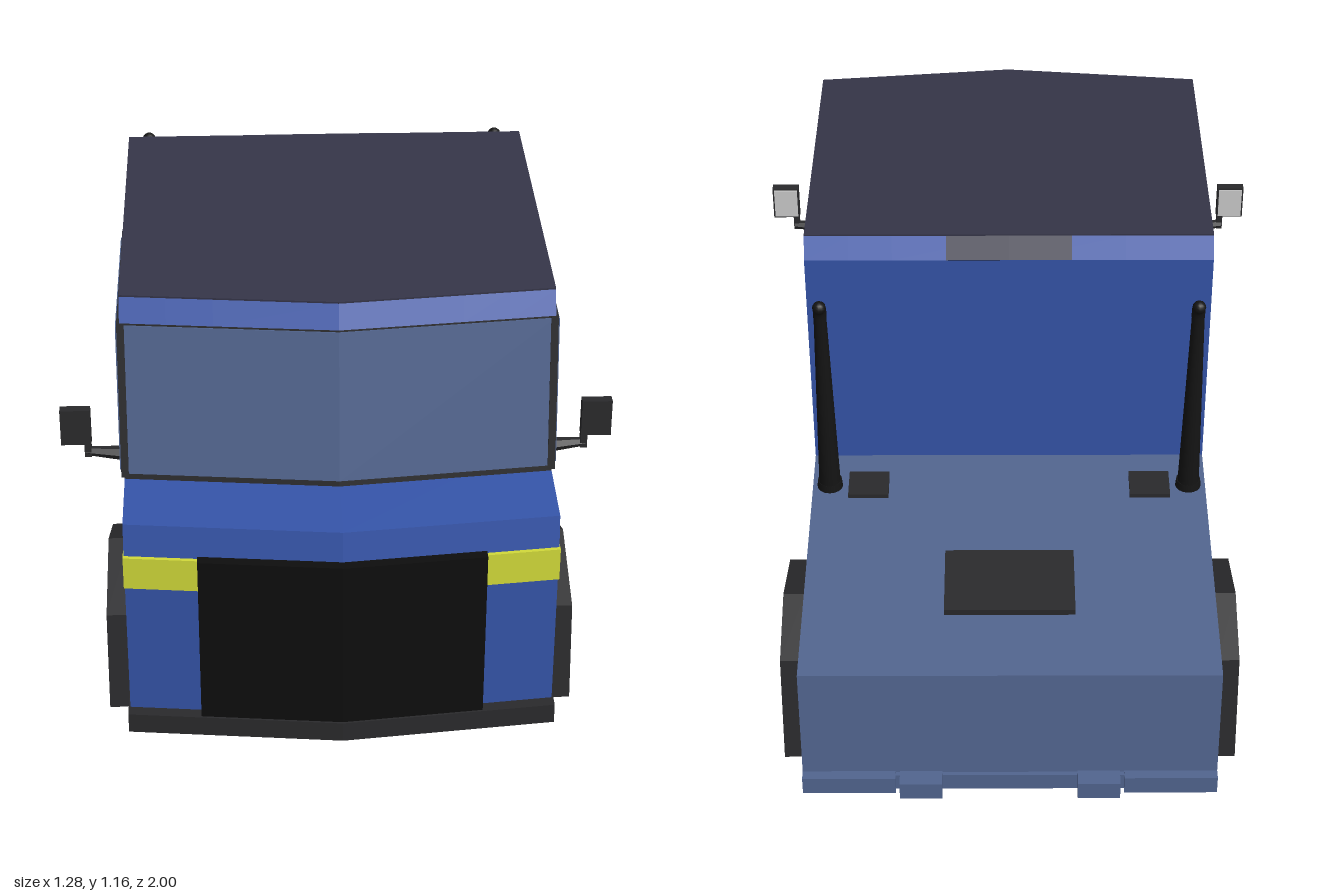
import * as THREE from 'three';

const mat = (color, flatShading = true) => new THREE.MeshStandardMaterial({ color, flatShading });
const blue = mat(0x3554a8), doorBlue = mat(0x3858c8), slate = mat(0x52658f), roofGrey = mat(0x353548);
const dark = mat(0x2a2a2c), black = mat(0x0e0e0e), yellow = mat(0xd2da3a), silver = mat(0xcccccc);
const floorGrey = mat(0x2a3347), rubber = mat(0x1c1c1c, false), hubGrey = mat(0x777777, false);
const pipe = mat(0x141414, false);

const W = 0.49;   // half width of the body
const IN = 0.28;  // inner wall of the wheel wells

export function createModel() {
  const truck = new THREE.Group();

  const add = (name, geometry, material) => {
    const mesh = new THREE.Mesh(geometry, material);
    mesh.name = name;
    truck.add(mesh);
    return mesh;
  };

  // Sweeps the nose back towards the sides, giving the shallow V in plan
  const sweep = (geo) => {
    const p = geo.attributes.position;
    for (let i = 0; i < p.count; i++) {
      const z = p.getZ(i);
      if (z > 0.84 || (z > 0.6 && p.getY(i) > 0.66)) p.setZ(i, z - 0.053 * Math.abs(p.getX(i)) / W);
    }
    geo.computeVertexNormals();
    return geo;
  };

  // Extrudes a [z, y] outline across x0..x1
  const slab = (points, x0, x1, holes = []) => {
    const shape = new THREE.Shape(points.map(([z, y]) => new THREE.Vector2(z, y)));
    holes.forEach((h) => shape.holes.push(new THREE.Path(h.map(([z, y]) => new THREE.Vector2(z, y)))));
    const geo = new THREE.ExtrudeGeometry(shape, { depth: x1 - x0, steps: 2, bevelEnabled: false });
    return geo.rotateY(-Math.PI / 2).translate(x1, 0, 0);
  };

  // The same slab on both sides
  const pair = (name, points, x0, x1, material) => {
    add(name + 'Left', slab(points, x0, x1), material);
    add(name + 'Right', slab(points, -x1, -x0), material);
  };

  const box = (name, x0, x1, y0, y1, z0, z1, material) =>
    add(name, new THREE.BoxGeometry(x1 - x0, y1 - y0, z1 - z0, 2, 1, 1)
      .translate((x0 + x1) / 2, (y0 + y1) / 2, (z0 + z1) / 2), material);

  // Wheel arch outlines, from front foot to rear foot
  const frontArch = [[0.825, 0.14], [0.795, 0.35], [0.615, 0.425], [0.45, 0.35], [0.395, 0.14]];
  const rearArch = [[-0.44, 0.14], [-0.48, 0.385], [-0.65, 0.445], [-0.79, 0.385], [-0.835, 0.14]];
  const frontOuter = [[0.853, 0.14], [0.822, 0.378], [0.615, 0.457], [0.425, 0.378], [0.365, 0.14]];
  const rearOuter = [[-0.412, 0.14], [-0.455, 0.412], [-0.65, 0.474], [-0.817, 0.412], [-0.863, 0.14]];

  // Cab and rear deck: a solid core with outer slabs cut out for the wheels
  const cab = [[-0.17, 0.14], [-0.17, 1.11], [-0.14, 1.16], [0.71, 1.12], [0.735, 1.066], [0.722, 1.06],
    [0.78, 0.69], [0.955, 0.675], [0.968, 0.6], [0.968, 0.14]];
  const deck = [[-0.96, 0.14], [-0.94, 0.482], [-0.17, 0.512], [-0.17, 0.14]];
  add('cabCore', sweep(slab(cab, -IN, IN)), [slate, blue]);
  add('deckCore', slab(deck, -IN, IN), slate);
  for (const s of [-1, 1]) {
    const [a, b] = s > 0 ? [IN, W] : [-W, -IN];
    add('cabSide', sweep(slab([...cab, ...frontArch], a, b)), blue);
    add('deckSide', slab([...deck, ...rearArch], a, b), [blue, slate]);
  }

  // Roof panel and the dark inset on its rear bevel
  add('roof', sweep(slab([[0.71, 1.12], [0.71, 1.124], [-0.14, 1.164], [-0.14, 1.158]], -W, W)), roofGrey);
  add('roofInset', slab([[-0.14, 1.161], [-0.144, 1.163], [-0.174, 1.113], [-0.17, 1.11]], -0.15, 0.15), roofGrey);

  // Windscreen with its dark surround
  const screen = (y0, y1, d) => {
    const z = (y) => 0.78 - (y - 0.69) * 0.157;
    return [[z(y0) - 0.01, y0], [z(y0) + d, y0], [z(y1) + d, y1], [z(y1) - 0.01, y1]];
  };
  add('windscreenSurround', sweep(slab(screen(0.688, 1.064, 0.002), -W, W)), dark);
  add('windscreen', sweep(slab(screen(0.704, 1.056, 0.005), -0.487, 0.487)), slate);

  // Doors, side windows and handles
  const doorEdge = [[0.58, 0.705], [0.622, 0.462], [0.42, 0.385], [0.365, 0.18], [0.292, 0.18], [0.262, 0.705]];
  const doorSkin = [[0.572, 0.7], [0.612, 0.46], [0.425, 0.39], [0.368, 0.19], [0.303, 0.19], [0.272, 0.7]];
  pair('doorGap', doorEdge, 0.48, 0.492, dark);
  pair('door', doorSkin, 0.48, 0.495, doorBlue);
  pair('windowFrame', [[0.735, 0.697], [0.675, 1.062], [0.243, 1.085], [0.262, 0.697]], 0.48, 0.497, dark);
  pair('quarterWindow', [[0.722, 0.71], [0.672, 1.052], [0.532, 1.059], [0.58, 0.71]], 0.48, 0.5, slate);
  pair('doorWindow', [[0.566, 0.715], [0.52, 1.06], [0.254, 1.074], [0.271, 0.715]], 0.48, 0.5, slate);
  pair('doorHandle', [[0.27, 0.68], [0.27, 0.703], [0.365, 0.703], [0.365, 0.68]], 0.49, 0.507, dark);

  // Grille, headlamps and front bumper
  sweep(box('grille', -0.325, 0.325, 0.185, 0.605, 0.94, 0.993, black).geometry);
  sweep(box('headlampLeft', 0.325, 0.492, 0.52, 0.6, 0.945, 0.978, yellow).geometry);
  sweep(box('headlampRight', -0.492, -0.325, 0.52, 0.6, 0.945, 0.978, yellow).geometry);
  sweep(box('frontBumper', -0.494, 0.494, 0.136, 0.185, 0.9, 0.998, dark).geometry);

  // Sills, underside and rear bumper
  pair('sill', [[0.385, 0.136], [0.365, 0.19], [-0.33, 0.19], [-0.43, 0.136]], 0.3, 0.495, dark);
  box('floor', -IN, IN, 0.134, 0.145, -0.955, 0.91, floorGrey);
  box('middleFloor', -W, W, 0.134, 0.145, -0.43, 0.385, floorGrey);
  for (const s of [-1, 1]) {
    const span = (name, a, b, z) => box(name, Math.min(s * a, s * b), Math.max(s * a, s * b), 0.14, 0.188, z, -0.94, slate);
    span('rearBumper', 0.27, W, -0.982);
    span('rearBumperBlock', 0.16, 0.26, -1);
  }
  box('rearBumperCentre', -0.27, 0.27, 0.14, 0.185, -0.968, -0.94, slate);

  // Wheel arch flares
  for (const [inner, outer] of [[frontArch, frontOuter], [rearArch, rearOuter]])
    pair('wheelArch', [...outer, ...[...inner].reverse()], 0.44, 0.541, dark);

  // Wheels: tyre, dished rim and hub cap, turned around the axle
  const lathe = (pts) => new THREE.LatheGeometry(pts.map(([r, h]) => new THREE.Vector2(r, h)), 32);
  const tyre = lathe([[0.1, -0.09], [0.15, -0.09], [0.172, -0.082], [0.184, -0.06], [0.186, 0], [0.184, 0.06],
    [0.172, 0.082], [0.155, 0.09], [0.15, 0.084], [0.13, 0.084], [0.125, 0.09], [0.105, 0.088], [0.095, 0.06]]);
  const rim = lathe([[0.1, 0.066], [0.094, 0.08], [0.085, 0.08], [0.06, 0.072], [0.055, 0.084], [0.048, 0.09], [0, 0.09]]);
  const back = lathe([[0, -0.07], [0.1, -0.085]]);
  for (const s of [-1, 1]) for (const z of [0.615, -0.64]) {
    const wheel = new THREE.Group();
    wheel.name = 'wheel';
    [[tyre, rubber, 'tyre'], [rim, hubGrey, 'rim'], [back, rubber, 'wheelBack']].forEach(([g, m, n]) => {
      const part = new THREE.Mesh(g, m);
      part.name = n;
      wheel.add(part);
    });
    wheel.rotation.z = -s * Math.PI / 2;
    wheel.position.set(s * 0.435, 0.187, z);
    truck.add(wheel);
  }

  for (const s of [-1, 1]) {
    // Exhaust stack with a bent tip
    add('exhaustStack', new THREE.CylinderGeometry(0.015, 0.027, 0.54, 16), pipe).position.set(s * 0.447, 0.78, -0.297);
    truck.children.at(-1).rotation.x = -0.04;
    const bend = new THREE.QuadraticBezierCurve3(new THREE.Vector3(s * 0.447, 1.04, -0.307),
      new THREE.Vector3(s * 0.447, 1.075, -0.307), new THREE.Vector3(s * 0.447, 1.082, -0.326));
    add('exhaustTip', new THREE.TubeGeometry(bend, 6, 0.016, 12), pipe);
    add('exhaustCap', new THREE.SphereGeometry(0.016, 12, 8), pipe).position.set(s * 0.447, 1.08, -0.323);
    add('exhaustBase', new THREE.CylinderGeometry(0.03, 0.032, 0.02, 16), pipe).position.set(s * 0.447, 0.518, -0.284);

    // Deck hatch
    add('deckHatch', new THREE.BoxGeometry(0.1, 0.014, 0.09), dark).position.set(s * 0.35, 0.511, -0.287);

    // Door mirror on a tapered arm
    const arm = add('mirrorArm', new THREE.CylinderGeometry(0.01, 0.018, 0.1, 6), dark);
    arm.rotation.z = -s * 1.48;
    arm.position.set(s * 0.535, 0.692, 0.61);
    add('mirrorPost', new THREE.BoxGeometry(0.016, 0.06, 0.016), dark).position.set(s * 0.578, 0.715, 0.612);
    add('mirrorHousing', new THREE.BoxGeometry(0.07, 0.09, 0.024), dark).position.set(s * 0.604, 0.768, 0.617);
    add('mirrorGlass', new THREE.BoxGeometry(0.062, 0.082, 0.004), silver).position.set(s * 0.604, 0.768, 0.604);
  }

  // Coupling plate on the deck
  add('couplingPlate', new THREE.BoxGeometry(0.31, 0.016, 0.205), dark).position.set(0, 0.503, -0.642);
  truck.children.at(-1).rotation.x = -0.039;

  return truck;
}
